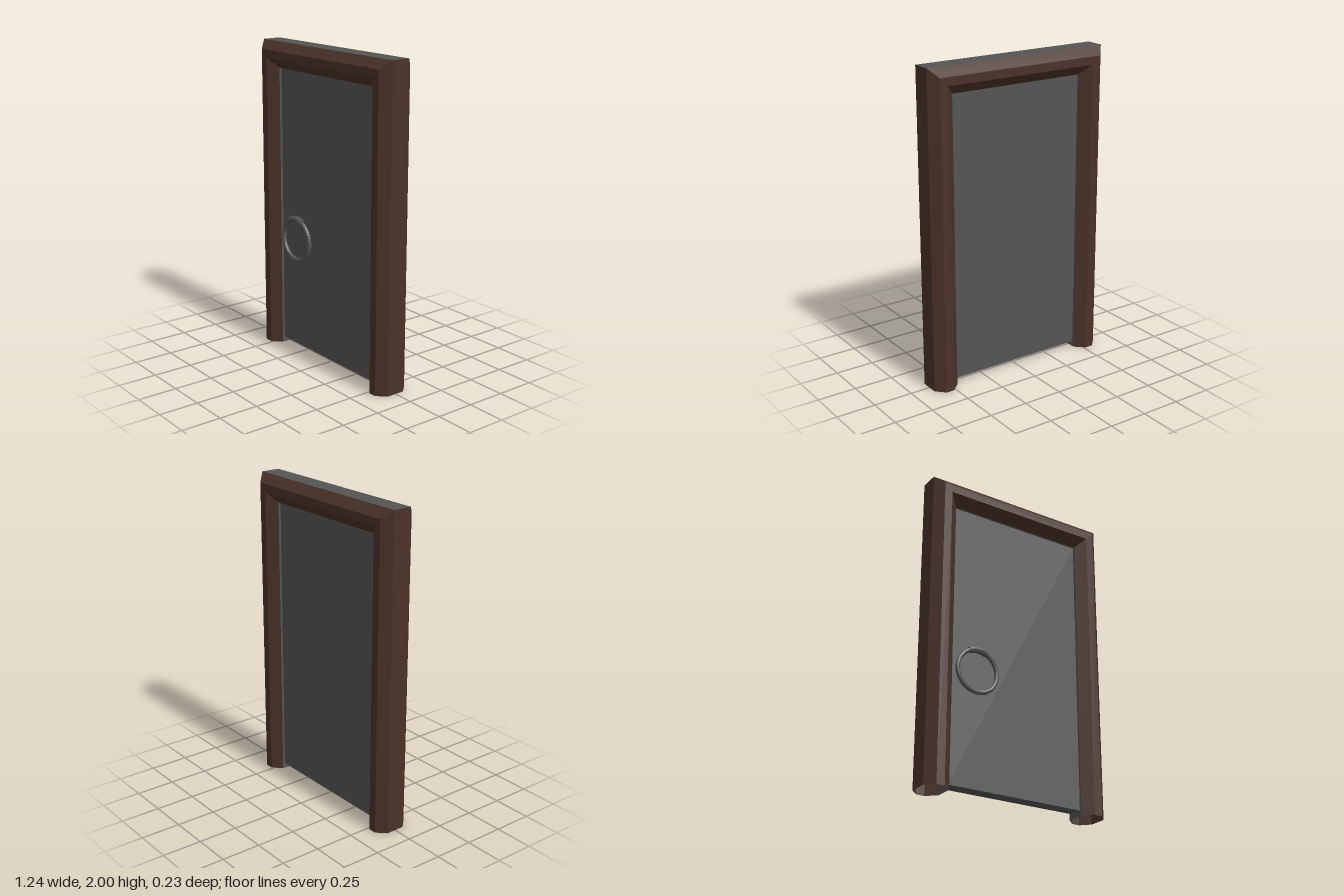
import * as THREE from 'three';

const W = 0.62, H = 2;
const wood = new THREE.MeshStandardMaterial({ color: 0x4a3228, flatShading: true, side: THREE.DoubleSide });
const grey = new THREE.MeshStandardMaterial({ color: 0x555555, flatShading: true, side: THREE.DoubleSide });

// Chamfered frame cross-section: [inset from the outer edge, z]
const SECTION = [
  [0, 0.06], [0.053, 0.115], [0.105, 0.115], [0.165, 0.06],
  [0.165, -0.06], [0.105, -0.115], [0.053, -0.115], [0, -0.06],
];

// The section placed at the four stations: left foot, two mitred corners, right foot
const STATIONS = [
  ([o, z]) => [-W + o, 0, z],
  ([o, z]) => [-W + o, H - o, z],
  ([o, z]) => [W - o, H - o, z],
  ([o, z]) => [W - o, 0, z],
];

// One frame member between two stations, using only the chosen sides of the section
function frameStrip(name, station, sides, material) {
  const positions = [];
  for (const k of sides) {
    const p = SECTION[k], q = SECTION[(k + 1) % SECTION.length];
    const from = STATIONS[station], to = STATIONS[station + 1];
    const a = from(p), b = from(q), c = to(q), d = to(p);
    positions.push(...a, ...b, ...c, ...a, ...c, ...d);
  }
  const geometry = new THREE.BufferGeometry();
  geometry.setAttribute('position', new THREE.Float32BufferAttribute(positions, 3));
  geometry.computeVertexNormals();
  return named(name, geometry, material);
}

function named(name, geometry, material) {
  const mesh = new THREE.Mesh(geometry, material);
  mesh.name = name;
  return mesh;
}

export function createModel() {
  const model = new THREE.Group();
  model.name = 'door';

  // Frame: two posts open at the foot, and a header with a grey top
  const frame = new THREE.Group();
  frame.name = 'frame';
  ['rightPost', 'header', 'leftPost'].forEach((name, i) => {
    const isHeader = name === 'header';
    const woodSides = isHeader ? [0, 1, 2, 4, 5, 6] : [0, 1, 2, 4, 5, 6, 7];
    frame.add(frameStrip(name, i, woodSides, wood));
    frame.add(frameStrip(name + 'Edge', i, isHeader ? [3, 7] : [3], grey));
  });
  model.add(frame);

  // Door panel, with a gap above the floor
  const panel = named('panel', new THREE.BoxGeometry(0.91, 1.8, 0.09), grey);
  panel.position.y = 0.935;
  model.add(panel);

  // Ring handle hanging from a short curved sleeve
  const handle = new THREE.Group();
  handle.name = 'handle';
  const R = 0.135, arc = 0.86, sleeveRadius = 0.02;
  handle.add(named('ring', new THREE.TorusGeometry(R, 0.014, 8, 32), grey));
  const sleeve = new THREE.Group();
  sleeve.name = 'ringSleeve';
  sleeve.add(named('sleeveTube', new THREE.TorusGeometry(R, sleeveRadius, 8, 6, arc), grey));
  for (const angle of [0, arc]) {
    const cap = named('sleeveEnd', new THREE.CircleGeometry(sleeveRadius, 8), grey);
    cap.position.set(R * Math.cos(angle), R * Math.sin(angle), 0);
    cap.rotation.set(angle === 0 ? Math.PI / 2 : -Math.PI / 2, 0, angle, 'ZXY');
    sleeve.add(cap);
  }
  sleeve.rotation.z = (Math.PI - arc) / 2;
  handle.add(sleeve);
  handle.position.set(-0.285, 0.757, 0.064);
  model.add(handle);

  return model;
}
